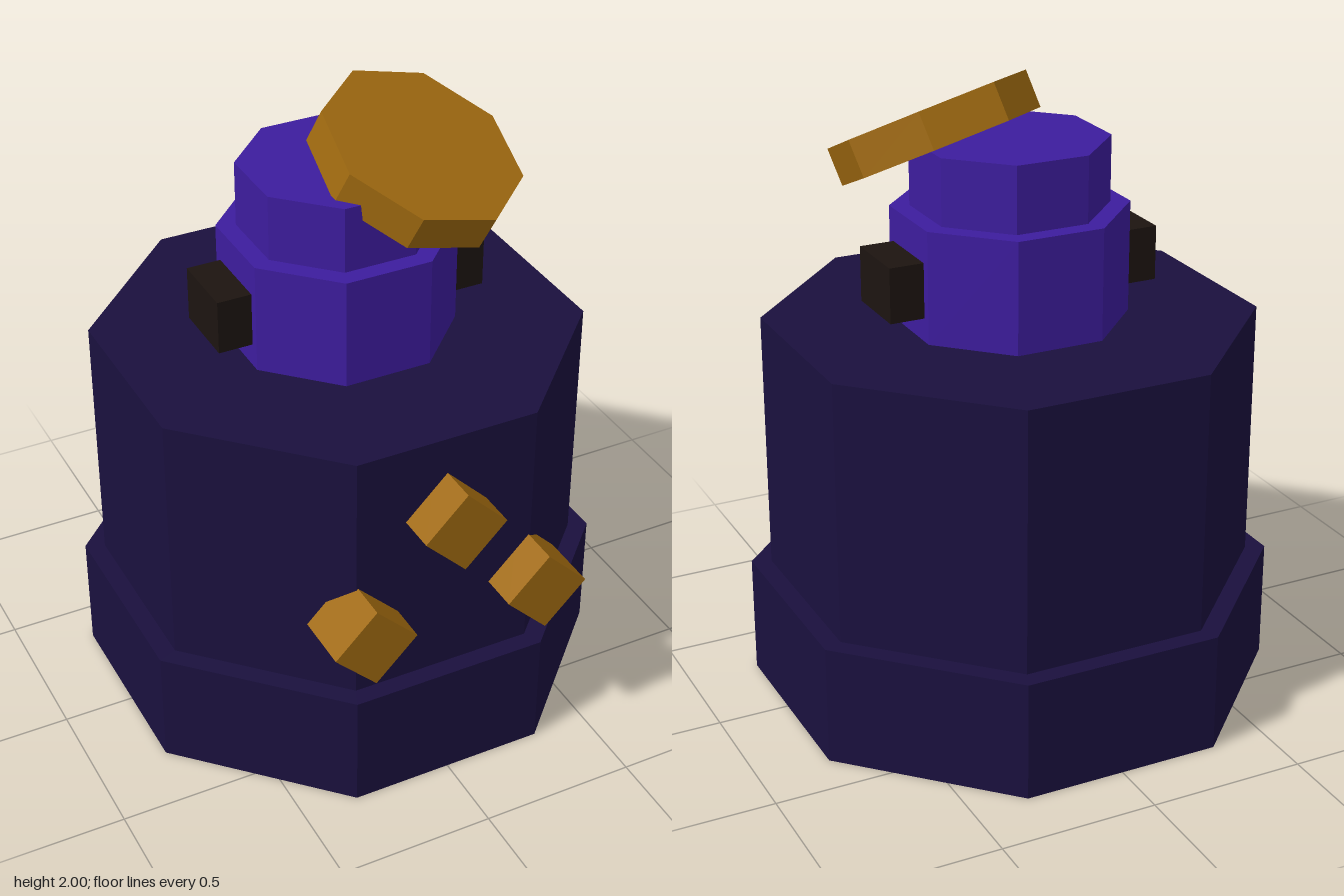
import * as THREE from 'three';

export function createModel() {
  const model = new THREE.Group();
  const mat = (color) => new THREE.MeshStandardMaterial({ color, flatShading: true });
  const navy = mat(0x1a103e);
  const purple = mat(0x3d1c9e);
  const gold = mat(0xa06a10);
  const dark = mat(0x1c1410);

  function add(name, geometry, material, x, y, z) {
    const mesh = new THREE.Mesh(geometry, material);
    mesh.name = name;
    mesh.position.set(x, y, z);
    model.add(mesh);
    return mesh;
  }

  // Octagonal prism with flat sides facing x and z
  function octagon(apothem, height) {
    const r = apothem / Math.cos(Math.PI / 8);
    return new THREE.CylinderGeometry(r, r, height, 8).rotateY(Math.PI / 8);
  }

  // Stacked tiers: name, apothem, bottom, top, material
  const axisZ = -0.033;
  const tiers = [
    ['base', 0.772, 0, 0.385, navy],
    ['body', 0.713, 0.385, 1.225, navy],
    ['head', 0.34, 1.225, 1.58, purple],
    ['crown', 0.283, 1.58, 1.79, purple],
  ];
  for (const [name, apothem, y0, y1, material] of tiers) {
    add(name, octagon(apothem, y1 - y0), material, 0, (y0 + y1) / 2, axisZ);
  }

  // Side blocks passing through the head
  for (const side of [-1, 1]) {
    add(side > 0 ? 'leftEar' : 'rightEar', new THREE.BoxGeometry(0.225, 0.175, 0.225), dark,
      side * 0.3375, 1.387, axisZ);
  }

  // Diamond studs on the front
  for (const [name, x, y] of [['topStud', 0, 0.97], ['leftStud', 0.29, 0.645], ['rightStud', -0.29, 0.645]]) {
    add(name, new THREE.BoxGeometry(0.19, 0.19, 0.19), gold, x, y, 0.708).rotation.z = Math.PI / 4;
  }

  // Tilted disc resting on the crown
  const disc = add('tiltedDisc', octagon(0.298, 0.12), gold, 0.194, 1.807, 0.095);
  disc.rotation.set(0.387, 0, -0.245, 'ZXY');

  return model;
}
